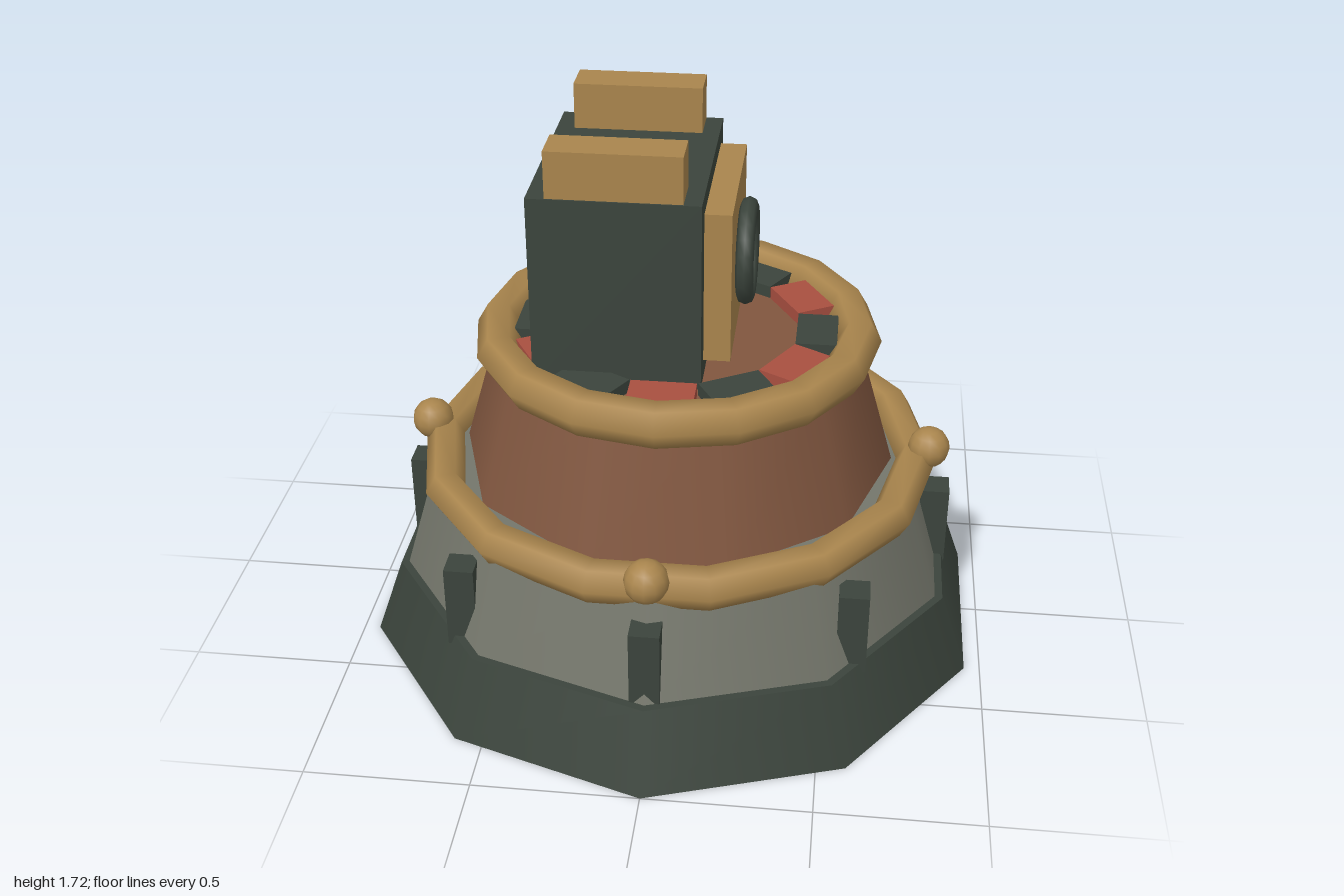
import * as THREE from 'three';

const mat = (name, color) => {
  const m = new THREE.MeshStandardMaterial({ color });
  m.name = name;
  return m;
};

export function createModel() {
  const dark = mat('darkIron', 0x3b443c);
  const stone = mat('greyStone', 0x74766b);
  const copper = mat('copper', 0x80563f);
  const brass = mat('brass', 0xa9854d);
  const red = mat('red', 0xa84f40);

  const model = new THREE.Group();
  model.name = 'turret';

  const add = (name, geometry, material, x = 0, y = 0, z = 0) => {
    const mesh = new THREE.Mesh(geometry, material);
    mesh.name = name;
    mesh.position.set(x, y, z);
    model.add(mesh);
    return mesh;
  };
  // Ten-sided tapered tier between two heights
  const tier = (name, rBottom, rTop, y0, y1, material) =>
    add(name, new THREE.CylinderGeometry(rTop, rBottom, y1 - y0, 10), material, 0, (y0 + y1) / 2, 0);
  // Box given by its limits on each axis
  const box = (name, [x0, x1], [y0, y1], [z0, z1], material) =>
    add(name, new THREE.BoxGeometry(x1 - x0, y1 - y0, z1 - z0), material,
      (x0 + x1) / 2, (y0 + y1) / 2, (z0 + z1) / 2);

  // Stacked tiers
  tier('base', 1, 0.91, 0, 0.25, dark);
  tier('lowerTier', 0.885, 0.785, 0.25, 0.58, stone);
  tier('upperTier', 0.69, 0.565, 0.56, 0.99, copper).rotation.y = Math.PI / 10;

  // Brass rings
  add('lowerRing', new THREE.TorusGeometry(0.76, 0.064, 6, 14).rotateX(Math.PI / 2), brass, 0, 0.575, 0);
  add('upperRing', new THREE.TorusGeometry(0.562, 0.068, 6, 16).rotateX(Math.PI / 2), brass, 0, 1, 0);

  // Buttresses, all kept square to the axes
  for (let i = 0; i < 8; i++) {
    const a = i * Math.PI / 4;
    add('buttress', new THREE.BoxGeometry(0.09, 0.27, 0.09), dark,
      0.83 * Math.cos(a), 0.355, 0.83 * Math.sin(a));
  }

  // Ball studs on the lower ring
  for (let i = 0; i < 4; i++) {
    const a = i * Math.PI / 2;
    add('stud', new THREE.SphereGeometry(0.066, 12, 8), brass,
      0.8 * Math.cos(a), 0.63, 0.8 * Math.sin(a));
  }

  // Alternating blocks around the turntable
  for (let i = 0; i < 12; i++) {
    const a = i * Math.PI / 6;
    const block = add('turntableBlock', new THREE.BoxGeometry(0.125, 0.06, 0.195), i % 2 ? red : dark,
      0.432 * Math.cos(a), 1, 0.432 * Math.sin(a));
    block.rotation.y = -a;
  }

  // Head with face plate, lens ring and top blocks
  box('head', [-0.395, 0.105], [0.98, 1.575], [-0.335, 0.335], dark);
  box('facePlate', [0.105, 0.185], [1.05, 1.52], [-0.265, 0.265], brass);
  add('lensRing', new THREE.TorusGeometry(0.137, 0.027, 8, 20).rotateY(Math.PI / 2), dark, 0.212, 1.287, 0);
  for (const s of [-1, 1]) {
    const z = [0.205 * s, 0.33 * s].sort((a, b) => a - b);
    box(s > 0 ? 'frontTopBlock' : 'backTopBlock', [-0.34, 0.053], [1.575, 1.717], z, brass);
  }

  return model;
}
